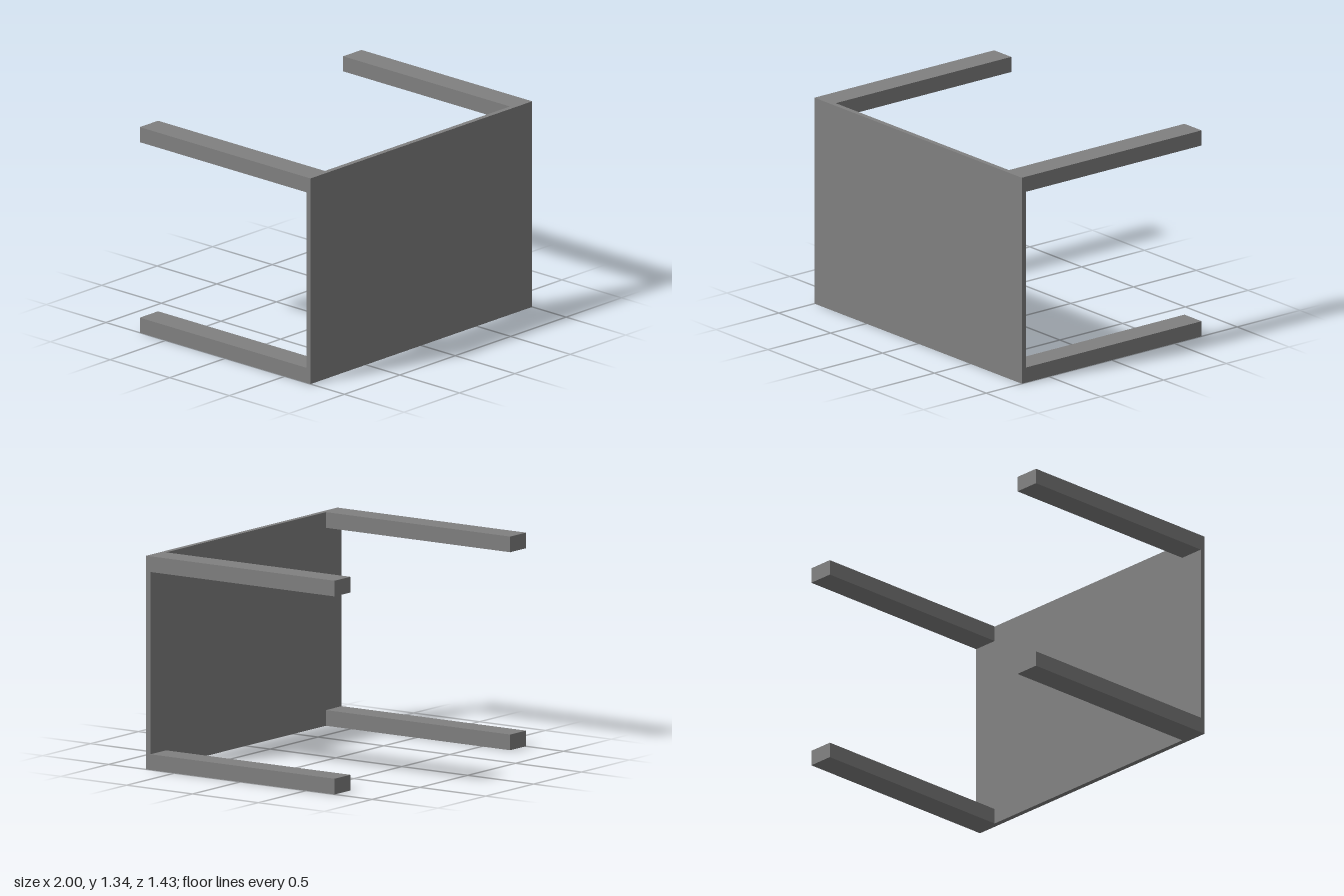
import * as THREE from 'three';

const W = 2, H = 1.335, D = 1.432;            // overall size
const PANEL = 0.033;                          // tabletop thickness
const LEG_W = 0.165, LEG_H = 0.098;           // leg cross-section

export function createModel() {
  const group = new THREE.Group();
  group.name = 'tableOnItsSide';
  const grey = new THREE.MeshStandardMaterial({ color: 0x808080 });
  grey.name = 'grey';

  // Upright tabletop at the front
  const top = new THREE.Mesh(new THREE.BoxGeometry(W, H, PANEL), grey);
  top.name = 'tabletop';
  top.position.set(0, H / 2, D / 2 - PANEL / 2);
  group.add(top);

  // Four legs reaching back from the corners
  const legGeometry = new THREE.BoxGeometry(LEG_W, LEG_H, D - PANEL);
  for (const [side, sx] of [['Left', 1], ['Right', -1]]) {
    for (const [level, y] of [['lower', LEG_H / 2], ['upper', H - LEG_H / 2]]) {
      const leg = new THREE.Mesh(legGeometry, grey);
      leg.name = `${level}${side}Leg`;
      leg.position.set(sx * (W - LEG_W) / 2, y, -PANEL / 2);
      group.add(leg);
    }
  }
  return group;
}
